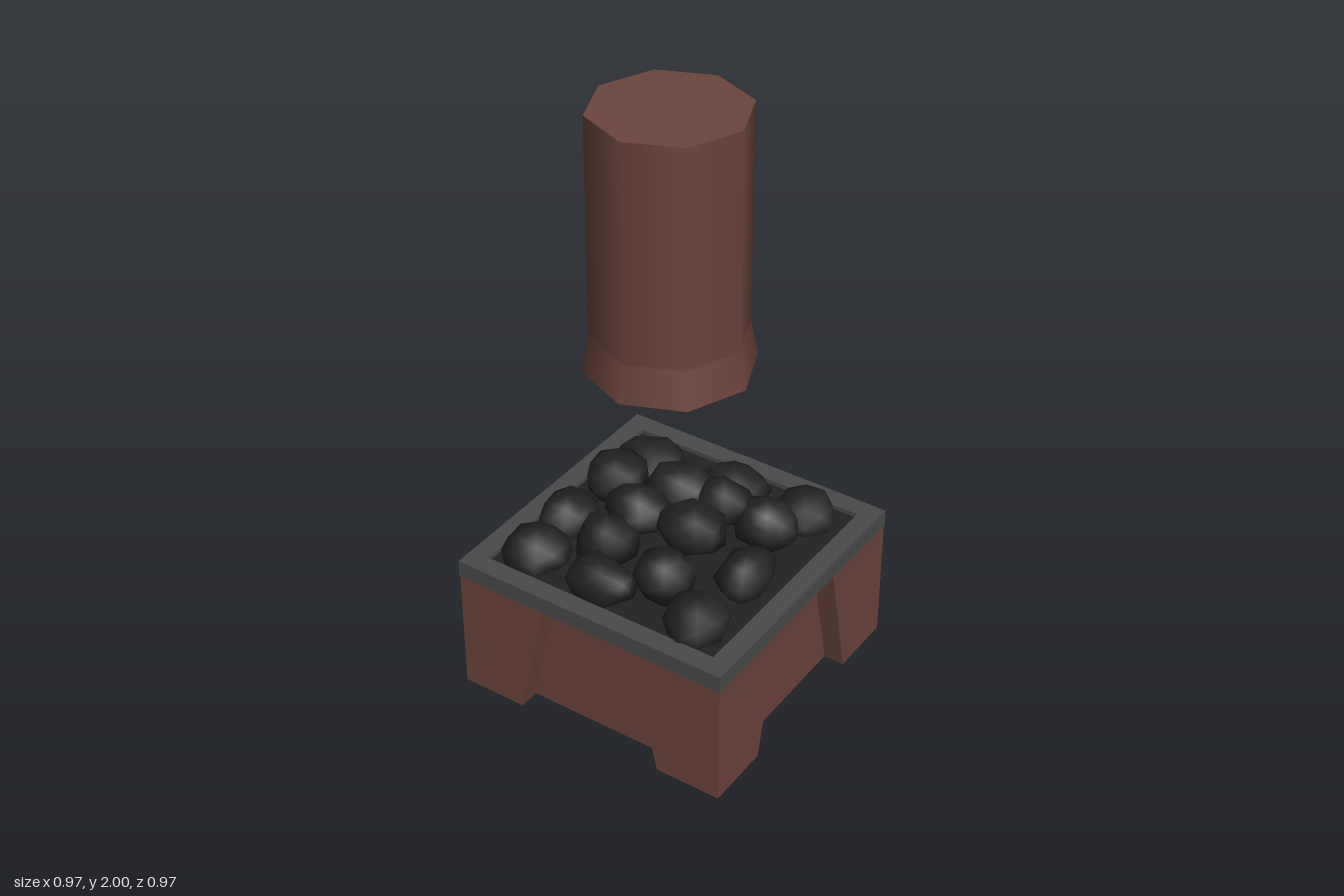
import * as THREE from 'three';
import { mergeVertices } from 'three/addons/utils/BufferGeometryUtils.js';

const mat = (name, color, side = THREE.FrontSide) => {
  const m = new THREE.MeshStandardMaterial({ color, side });
  m.name = name;
  return m;
};

// Quad strip from corner lists of four points each
function quads(list) {
  const pos = list.flatMap(([a, b, c, d]) => [a, b, c, a, c, d]).flat();
  const g = new THREE.BufferGeometry();
  g.setAttribute('position', new THREE.Float32BufferAttribute(pos, 3));
  g.computeVertexNormals();
  return g;
}

// Irregular smooth lump, varied by seed
function lump(seed) {
  let g = new THREE.IcosahedronGeometry(1, 1);
  g.deleteAttribute('normal');
  g.deleteAttribute('uv');
  g = mergeVertices(g, 1e-3);
  let s = seed * 7919 + 13;
  const rnd = () => (s = (s * 16807) % 2147483647) / 2147483647;
  for (let i = 0; i < 5; i++) rnd();
  const p = g.attributes.position;
  const v = new THREE.Vector3();
  for (let i = 0; i < p.count; i++) {
    v.fromBufferAttribute(p, i).multiplyScalar(0.86 + 0.24 * rnd());
    p.setXYZ(i, v.x, v.y, v.z);
  }
  g.computeVertexNormals();
  return g;
}

export function createModel() {
  const root = new THREE.Group();
  const brick = mat('brick brown', 0x6b443c, THREE.DoubleSide);
  const stone = mat('rim grey', 0x4a4a4a);
  const coal = mat('coal black', 0x212223);
  const add = (parent, name, geo, m, x = 0, y = 0, z = 0) => {
    const mesh = new THREE.Mesh(geo, m);
    mesh.name = name;
    mesh.position.set(x, y, z);
    parent.add(mesh);
    return mesh;
  };

  const H = 0.485, IN = 0.415, TOP = 0.43, LOW = 0.26, HIGH = 0.165;

  // Four walls, each with corner legs around a tapering recess
  for (let i = 0; i < 4; i++) {
    const wall = new THREE.Group();
    wall.name = 'wall' + (i + 1);
    wall.rotation.y = i * Math.PI / 2;
    root.add(wall);
    add(wall, 'cornerLegs', quads([
      [[-H, 0, H], [-LOW, 0, H], [-HIGH, TOP, H], [-H, TOP, H]],
      [[LOW, 0, H], [H, 0, H], [H, TOP, H], [HIGH, TOP, H]],
    ]), brick);
    add(wall, 'recessPanel', quads([
      [[-LOW, 0, IN], [LOW, 0, IN], [HIGH, TOP, IN], [-HIGH, TOP, IN]],
    ]), brick);
    add(wall, 'recessSides', quads([
      [[-LOW, 0, H], [-LOW, 0, IN], [-HIGH, TOP, IN], [-HIGH, TOP, H]],
      [[LOW, 0, IN], [LOW, 0, H], [HIGH, TOP, H], [HIGH, TOP, IN]],
    ]), brick);
  }
  add(root, 'bottomPanel', new THREE.BoxGeometry(IN * 2, 0.008, IN * 2), brick, 0, 0.004, 0);

  // Square rim with its tray
  const square = (P, h) => new P([[-h, -h], [h, -h], [h, h], [-h, h]].map(([x, y]) => new THREE.Vector2(x, y)));
  const ring = square(THREE.Shape, 0.487);
  ring.holes.push(square(THREE.Path, 0.42));
  const rim = new THREE.ExtrudeGeometry(ring, { depth: 0.057, bevelEnabled: false });
  rim.rotateX(-Math.PI / 2);
  add(root, 'rim', rim, stone, 0, TOP, 0);
  add(root, 'trayBase', new THREE.BoxGeometry(0.84, 0.03, 0.84), stone, 0, TOP + 0.015, 0);
  add(root, 'coalBed', new THREE.BoxGeometry(0.84, 0.012, 0.84), coal, 0, 0.465, 0);

  // Coals: x, z, half width, half depth, top height
  const coals = [
    [-0.275, -0.27, 0.12, 0.105, 0.59], [0.025, -0.31, 0.12, 0.1, 0.58],
    [0.285, -0.32, 0.1, 0.11, 0.575], [0.235, -0.165, 0.105, 0.105, 0.62],
    [-0.28, -0.075, 0.1, 0.105, 0.645], [-0.33, 0.12, 0.09, 0.105, 0.585],
    [0.305, 0.06, 0.085, 0.12, 0.59], [-0.31, 0.31, 0.11, 0.11, 0.575],
    [-0.05, 0.335, 0.12, 0.085, 0.59], [0.29, 0.31, 0.11, 0.11, 0.58],
    [0.12, 0.24, 0.105, 0.095, 0.625], [-0.13, 0.19, 0.105, 0.1, 0.625],
    [-0.06, -0.11, 0.12, 0.1, 0.665], [0.11, 0.06, 0.115, 0.1, 0.685],
    [-0.11, 0.04, 0.11, 0.1, 0.655], [0.09, -0.14, 0.1, 0.09, 0.655],
  ];
  const pile = new THREE.Group();
  pile.name = 'coalPile';
  root.add(pile);
  coals.forEach(([x, z, w, d, top], i) => {
    const h = 0.085;
    const c = add(pile, 'coal' + (i + 1), lump(i + 1), coal, x, top - h, z);
    c.scale.set(w, h, d);
  });

  // Eight-sided flue with a flared, open mouth
  const flue = new THREE.Group();
  flue.name = 'flue';
  flue.position.set(-0.003, 0, 0.022);
  root.add(flue);
  add(flue, 'pipe', new THREE.CylinderGeometry(0.245, 0.245, 0.72, 8, 1, true), brick, 0, 1.64, 0);
  add(flue, 'flare', new THREE.CylinderGeometry(0.245, 0.268, 0.125, 8, 1, true), brick, 0, 1.2175, 0);
  add(flue, 'innerPipe', new THREE.CylinderGeometry(0.195, 0.195, 0.84, 8, 1, true), brick, 0, 1.575, 0);
  const cap = new THREE.CircleGeometry(0.245, 8);
  cap.rotateX(-Math.PI / 2);
  add(flue, 'cap', cap, brick, 0, 2, 0);
  const lip = new THREE.RingGeometry(0.195, 0.268, 8);
  lip.rotateX(Math.PI / 2);
  add(flue, 'lip', lip, brick, 0, 1.155, 0);

  return root;
}
